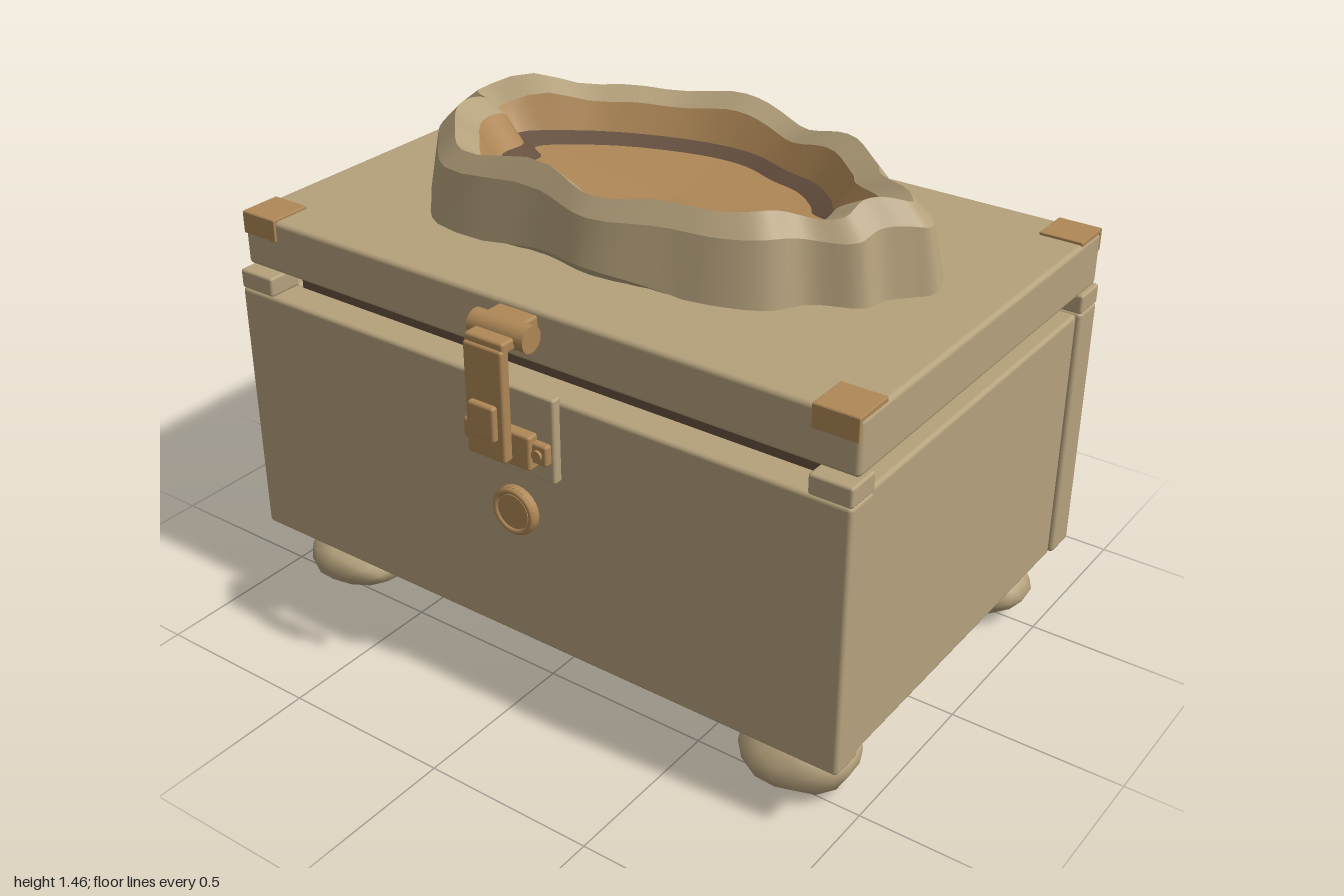
import * as THREE from 'three';
import { mergeVertices } from 'three/addons/utils/BufferGeometryUtils.js';
import { RoundedBoxGeometry } from 'three/addons/geometries/RoundedBoxGeometry.js';

const mat = (name, color) => {
  const m = new THREE.MeshStandardMaterial({ color });
  m.name = name;
  return m;
};

export function createModel() {
  const root = new THREE.Group();
  root.name = 'chest';
  const tan = mat('tan', 0xb5a17c);
  const bronze = mat('bronze', 0xae8756);
  const dark = mat('darkBrown', 0x66503f);

  const add = (name, geo, material, x = 0, y = 0, z = 0) => {
    const m = new THREE.Mesh(geo, material);
    m.name = name;
    m.position.set(x, y, z);
    root.add(m);
    return m;
  };
  // Rounded box given by its extents on each axis
  const box = (name, material, x0, x1, y0, y1, z0, z1, r = 0.008) => {
    const s = [x1 - x0, y1 - y0, z1 - z0];
    const geo = new RoundedBoxGeometry(...s, 2, Math.min(r, Math.min(...s) * 0.4));
    return add(name, geo, material, (x0 + x1) / 2, (y0 + y1) / 2, (z0 + z1) / 2);
  };
  const rod = (name, material, r, len, x, y, z, axis) => {
    const geo = new THREE.CylinderGeometry(r, r, len, 24);
    if (axis === 'x') geo.rotateZ(Math.PI / 2);
    if (axis === 'z') geo.rotateX(Math.PI / 2);
    return add(name, geo, material, x, y, z);
  };

  // Body panels and base
  box('frontPanel', tan, -0.97, 1.0, 0.22, 0.995, 0.53, 0.633, 0.012);
  box('backPanel', tan, -0.97, 1.0, 0.22, 0.995, -0.68, -0.577, 0.012);
  box('rightPanel', tan, -0.96, -0.85, 0.22, 0.995, -0.575, 0.53, 0.012);
  box('leftPanel', tan, 0.88, 0.99, 0.22, 0.995, -0.575, 0.53, 0.012);
  box('base', tan, -0.885, 0.915, 0.19, 0.235, -0.58, 0.535, 0.012);
  box('innerLiner', dark, -0.85, 0.88, 0.9, 1.048, -0.567, 0.52, 0.004);

  // Lid with corner blocks below and corner plates above
  box('lid', tan, -0.965, 0.998, 1.058, 1.212, -0.657, 0.604, 0.014);
  for (const [x0, x1, px0, px1] of [[-0.97, -0.85, -0.96, -0.84], [0.88, 1.0, 0.87, 0.995]]) {
    for (const [z0, z1, pz0, pz1, f] of [[0.53, 0.633, 0.485, 0.61, 0.607], [-0.68, -0.577, -0.663, -0.54, -0.66]]) {
      box('cornerBlock', tan, x0, x1, 0.993, 1.05, z0, z1);
      box('cornerPlate', bronze, px0, px1, 1.205, 1.22, pz0, pz1, 0.003);
      box('cornerFlap', bronze, px0, px1, 1.155, 1.218, f - 0.005, f + 0.004, 0.002);
    }
  }

  // Rough pebble feet
  let n = 0;
  for (const [x, w] of [[-0.77, 0.17], [0.795, 0.172]]) {
    for (const [z, d] of [[0.456, 0.15], [-0.51, 0.145]]) {
      const k = n++ * 1.7;
      let geo = new THREE.IcosahedronGeometry(1, 2);
      geo.deleteAttribute('normal');
      geo.deleteAttribute('uv');
      geo = mergeVertices(geo, 1e-4);
      const p = geo.attributes.position;
      for (let i = 0; i < p.count; i++) {
        const v = new THREE.Vector3().fromBufferAttribute(p, i);
        const s = 0.97 + 0.05 * Math.sin(4 * v.x + k) * Math.cos(3 * v.z + k) + 0.04 * Math.sin(5 * v.y + 3 * v.x + k);
        p.setXYZ(i, v.x * w * s, v.y * 0.096 * s, v.z * d * s);
      }
      geo.computeVertexNormals();
      add('foot', geo, tan, x, 0.103, z);
    }
  }

  // Outline of the craggy basin, as x, z pairs
  const outline = [[-0.80, -0.10], [-0.61, -0.27], [-0.345, -0.40], [-0.05, -0.475], [0.135, -0.47],
    [0.32, -0.40], [0.48, -0.355], [0.615, -0.25], [0.66, -0.19], [0.775, -0.15], [0.83, -0.06],
    [0.79, -0.01], [0.74, 0.05], [0.72, 0.12], [0.60, 0.18], [0.535, 0.27], [0.43, 0.32], [0.29, 0.35],
    [0.055, 0.395], [-0.13, 0.36], [-0.48, 0.35], [-0.61, 0.23], [-0.70, 0.11], [-0.70, -0.02]];
  const curve = new THREE.CatmullRomCurve3(outline.map(([x, z]) => new THREE.Vector3(x, 0, z)), true, 'centripetal');
  const pts = curve.getPoints(96);
  const cx = 0.02, cz = -0.03;
  // Arched gaps in the foot of the wall at the front and left
  const lift = (p) => {
    if (p.z > 0.2) return 0.033 * Math.max(0, 1 - ((p.x - 0.02) / 0.3) ** 2);
    if (p.x > 0.4) return 0.033 * Math.max(0, 1 - ((p.z + 0.18) / 0.15) ** 2);
    return 0;
  };
  const wave = (p) => {
    const a = Math.atan2((p.z - cz) * 1.8, p.x - cx);
    return 0.012 * Math.sin(7 * a + 1) + 0.01 * Math.sin(11 * a);
  };
  // Each ring: scale, height, wave strength, lift strength
  const ring = ([s, y, w, l]) => pts.map((p) => new THREE.Vector3(
    cx + (p.x - cx) * s, y + w * wave(p) + l * lift(p), cz + (p.z - cz) * s));
  const band = (name, material, r0, r1) => {
    const a = ring(r0), b = ring(r1), pos = [], idx = [], m = pts.length - 1;
    for (let i = 0; i < m; i++) {
      pos.push(a[i].x, a[i].y, a[i].z, b[i].x, b[i].y, b[i].z);
      const j = (i + 1) % m;
      idx.push(2 * i, 2 * i + 1, 2 * j, 2 * i + 1, 2 * j + 1, 2 * j);
    }
    const geo = new THREE.BufferGeometry();
    geo.setAttribute('position', new THREE.Float32BufferAttribute(pos, 3));
    geo.setIndex(idx);
    geo.computeVertexNormals();
    add(name, geo, material);
  };
  const under = [0.9, 1.2, 0, 0], foot = [1, 1.212, 0, 1], wall = [0.955, 1.385, 0.6, 0];
  const crest = [0.88, 1.44, 1, 0], lip = [0.78, 1.405, 0.8, 0], step = [0.695, 1.325, 0, 0];
  const edge = [0.61, 1.3, 0, 0], centre = [0, 1.28, 0, 0];
  band('basinUnderside', tan, under, foot);
  band('basinWall', tan, foot, wall);
  band('basinShoulder', tan, wall, crest);
  band('basinRim', tan, crest, lip);
  band('basinInnerWall', bronze, lip, step);
  band('basinLedge', dark, step, edge);
  band('basinFloor', bronze, edge, centre);

  // Front latch
  box('latchPlate', tan, -0.135, 0.16, 0.765, 1.01, 0.625, 0.658);
  box('latchBar', bronze, -0.125, 0.15, 0.822, 0.882, 0.65, 0.678);
  box('latchKeeper', bronze, -0.078, 0.105, 0.8, 0.9, 0.645, 0.69);
  for (const x of [-0.095, 0.122]) rod('latchScrew', bronze, 0.015, 0.012, x, 0.852, 0.68, 'z');
  box('latchStrap', bronze, -0.05, 0.075, 0.84, 1.155, 0.715, 0.747);
  box('latchStaple', bronze, -0.03, 0.055, 0.9, 1.0, 0.74, 0.764);
  box('latchArm', bronze, -0.05, 0.075, 1.142, 1.175, 0.66, 0.74);
  rod('latchPivot', bronze, 0.036, 0.18, 0.013, 1.165, 0.663, 'x');
  box('latchMount', bronze, -0.05, 0.075, 1.14, 1.2, 0.6, 0.66);

  // Round keyhole button on the front
  rod('buttonRim', bronze, 0.07, 0.022, 0.013, 0.632, 0.641, 'z');
  add('buttonBead', new THREE.TorusGeometry(0.06, 0.009, 8, 32), bronze, 0.013, 0.632, 0.652);
  rod('buttonCentre', bronze, 0.05, 0.006, 0.013, 0.632, 0.654, 'z');

  // Ring pull on the right side
  rod('ringBoss', bronze, 0.04, 0.025, -0.97, 0.73, -0.035, 'x');
  add('pullRing', new THREE.TorusGeometry(0.06, 0.011, 8, 32).rotateY(Math.PI / 2), bronze, -0.989, 0.652, -0.035);

  // Back hinges
  for (const x of [-0.58, 0.612]) {
    rod('hingeBarrel', bronze, 0.04, 0.22, x, 1.05, -0.725, 'x');
    box('hingeBlock', bronze, x - 0.073, x + 0.073, 1.05, 1.145, -0.732, -0.65, 0.005);
    box('hingeLeaf', bronze, x - 0.073, x + 0.073, 0.815, 1.03, -0.706, -0.675);
  }
  return root;
}
